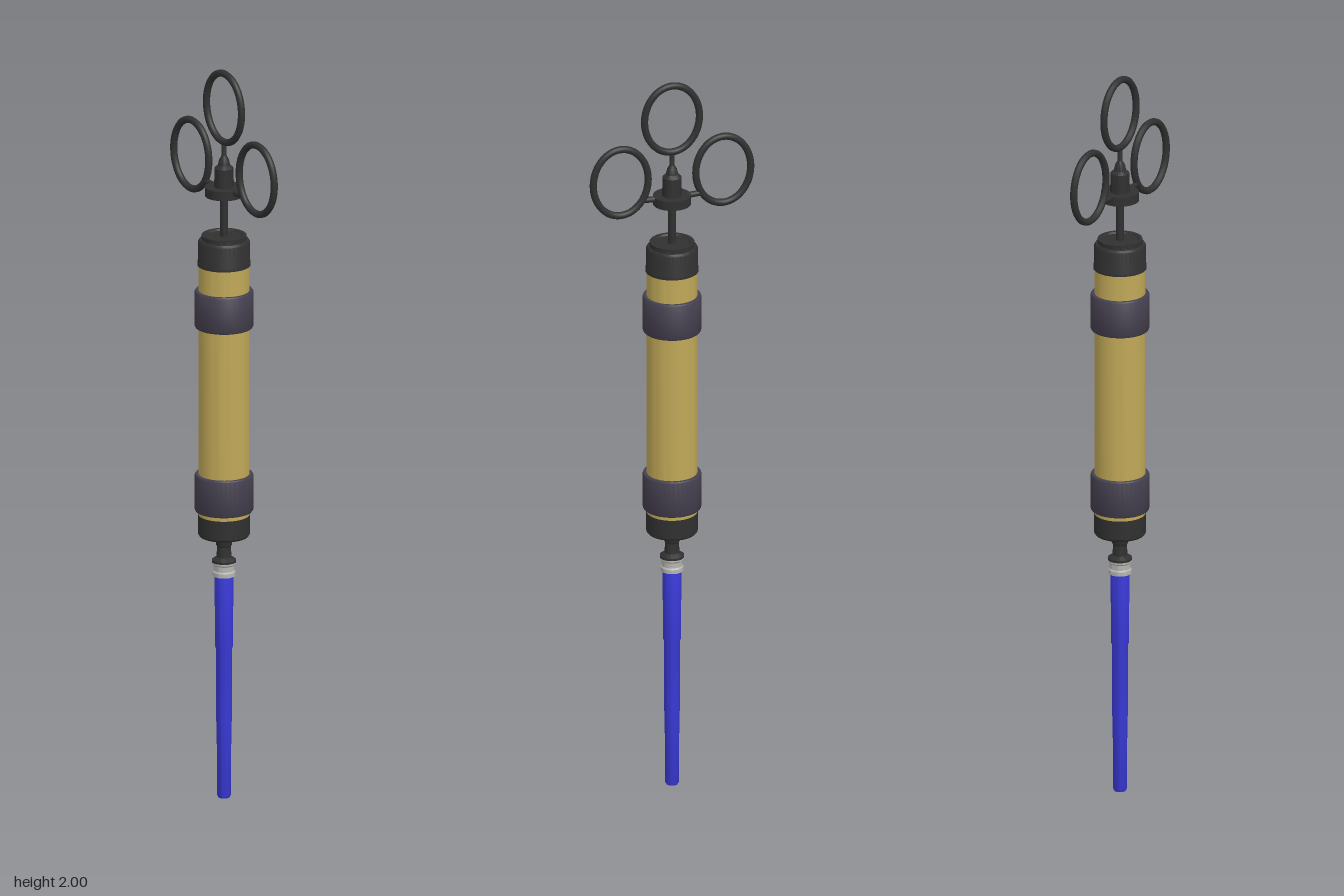
import * as THREE from 'three';
import { toCreasedNormals } from 'three/addons/utils/BufferGeometryUtils.js';

const material = (color) => new THREE.MeshStandardMaterial({ color });

// Closed ellipse in the XY plane
class EllipseLoop extends THREE.Curve {
  constructor(rx, ry) {
    super();
    this.rx = rx;
    this.ry = ry;
  }
  getPoint(t, target = new THREE.Vector3()) {
    const a = t * Math.PI * 2;
    return target.set(this.rx * Math.cos(a), this.ry * Math.sin(a), 0);
  }
}

export function createModel() {
  const model = new THREE.Group();
  model.name = 'syringe';
  const black = material(0x303030);
  const gold = material(0xc0a858);
  const violet = material(0x45404f);
  const silver = material(0xb4b4b0);
  const blue = material(0x3c3ce0);

  const add = (name, geometry, mat) => {
    const mesh = new THREE.Mesh(geometry, mat);
    mesh.name = name;
    model.add(mesh);
    return mesh;
  };
  // Turned part: [radius, height] pairs from bottom to top
  const turned = (name, profile, mat) => {
    const points = profile.map(([r, y]) => new THREE.Vector2(r, y));
    return add(name, toCreasedNormals(new THREE.LatheGeometry(points, 40), 0.6), mat);
  };

  // Needle sheath in three slim steps
  turned('needleSheath', [
    [0, 0], [0.015, 0], [0.018, 0.006], [0.0195, 0.205], [0.021, 0.21],
    [0.0215, 0.41], [0.0235, 0.415], [0.025, 0.62], [0, 0.62],
  ], blue);

  // Metal hub and dark neck
  turned('needleHub', [
    [0, 0.61], [0.03, 0.61], [0.03, 0.621], [0.027, 0.625],
    [0.027, 0.639], [0.031, 0.643], [0.031, 0.65], [0, 0.65],
  ], silver);
  turned('neck', [
    [0, 0.648], [0.032, 0.648], [0.032, 0.654], [0.02, 0.662], [0.018, 0.69],
    [0.021, 0.695], [0.021, 0.725], [0, 0.725],
  ], black);

  // Barrel with end caps and grip bands
  turned('lowerCap', [
    [0, 0.72], [0.064, 0.72], [0.068, 0.725], [0.068, 0.778], [0, 0.778],
  ], black);
  turned('barrel', [
    [0, 0.775], [0.067, 0.775], [0.067, 1.468], [0, 1.468],
  ], gold);
  turned('upperCap', [
    [0, 1.465], [0.07, 1.465], [0.07, 1.475], [0.068, 1.48], [0.068, 1.53],
    [0.064, 1.536], [0.059, 1.536], [0.059, 1.548], [0.05, 1.548],
    [0.046, 1.544], [0, 1.544],
  ], black);
  for (const [name, y] of [['lowerBand', 0.79], ['upperBand', 1.295]]) {
    turned(name, [
      [0.066, y], [0.075, y], [0.077, y + 0.003], [0.077, y + 0.098],
      [0.075, y + 0.101], [0.066, y + 0.101],
    ], violet);
  }

  // Plunger rod, thumb plate and stepped boss
  turned('plungerRod', [[0, 1.53], [0.01, 1.53], [0.01, 1.67], [0, 1.67]], black);
  turned('thumbPlate', [
    [0, 1.655], [0.05, 1.655], [0.05, 1.68], [0.026, 1.68], [0.025, 1.732],
    [0.016, 1.74], [0.013, 1.755], [0.007, 1.765], [0.007, 1.808], [0, 1.808],
  ], black);

  // Three oval finger rings, the side pair joined to the plate by short arms
  const ring = new THREE.TubeGeometry(new EllipseLoop(0.076, 0.094), 64, 0.0095, 10, true);
  add('topRing', ring, black).position.set(0, 1.8965, 0);
  for (const [label, side] of [['left', 1], ['right', -1]]) {
    add(label + 'Ring', ring, black).position.set(side * 0.142, 1.734, 0);
    const path = new THREE.LineCurve3(
      new THREE.Vector3(side * 0.02, 1.672, 0),
      new THREE.Vector3(side * 0.084, 1.676, 0),
    );
    add(label + 'Arm', new THREE.TubeGeometry(path, 1, 0.008, 10), black);
  }
  return model;
}
